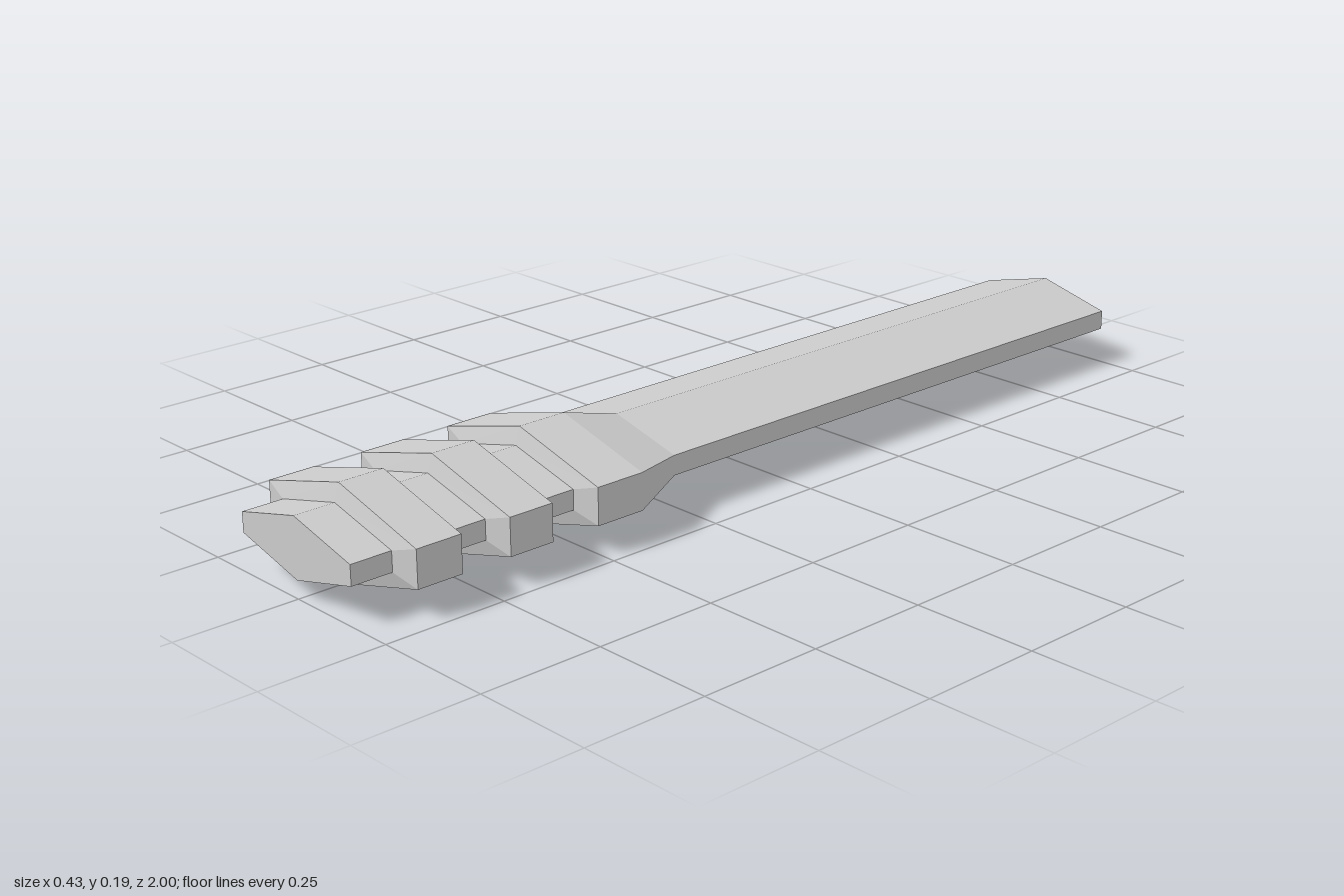
import * as THREE from 'three';

const CENTER_Y = 0.096;
// Hexagonal sections: half width, half height of the side, half height of the ridge
const SLIM = [0.16, 0.02, 0.06];
const WIDE = [0.216, 0.037, 0.095];

// Corners of one section, anticlockwise seen from +z
function section([w, s, r], z) {
  return [[w, -s], [w, s], [0, r], [-w, s], [-w, -s], [0, -r]]
    .map(([x, y]) => [x, y + CENTER_Y, z]);
}

// Skin a run of [section, z] stations, optionally closing either end
function loft(name, stations, material, capBack = false, capFront = false) {
  const rings = stations.map(([size, z]) => section(size, z));
  const positions = [];
  const tri = (a, b, c) => positions.push(...a, ...b, ...c);
  for (let k = 0; k < rings.length - 1; k++) {
    const back = rings[k], front = rings[k + 1];
    for (let i = 0; i < 6; i++) {
      const j = (i + 1) % 6;
      tri(back[i], back[j], front[j]);
      tri(back[i], front[j], front[i]);
    }
  }
  const first = rings[0], last = rings[rings.length - 1];
  for (let i = 1; i < 5; i++) {
    if (capBack) tri(first[0], first[i + 1], first[i]);
    if (capFront) tri(last[0], last[i], last[i + 1]);
  }
  const geometry = new THREE.BufferGeometry();
  geometry.setAttribute('position', new THREE.Float32BufferAttribute(positions, 3));
  geometry.computeVertexNormals();
  const mesh = new THREE.Mesh(geometry, material);
  mesh.name = name;
  return mesh;
}

export function createModel() {
  const model = new THREE.Group();
  model.name = 'ribbedHandle';
  const material = new THREE.MeshStandardMaterial({ color: 0xcccccc, flatShading: true });

  // Long plain shaft
  model.add(loft('shaft', [[SLIM, -1], [SLIM, 0.27]], material, true));

  // Flared shoulder where the shaft widens
  model.add(loft('shoulder',
    [[SLIM, 0.27], [WIDE, 0.4], [WIDE, 0.505], [SLIM, 0.515]], material));

  // Two raised ribs, each preceded by a slim neck
  for (const z of [0.6, 0.8]) {
    model.add(loft('neck', [[SLIM, z - 0.085], [SLIM, z]], material));
    model.add(loft('rib',
      [[SLIM, z], [WIDE, z + 0.01], [WIDE, z + 0.105], [SLIM, z + 0.115]], material));
  }

  // Slim end stub
  model.add(loft('endStub', [[SLIM, 0.915], [SLIM, 1]], material, false, true));

  return model;
}
